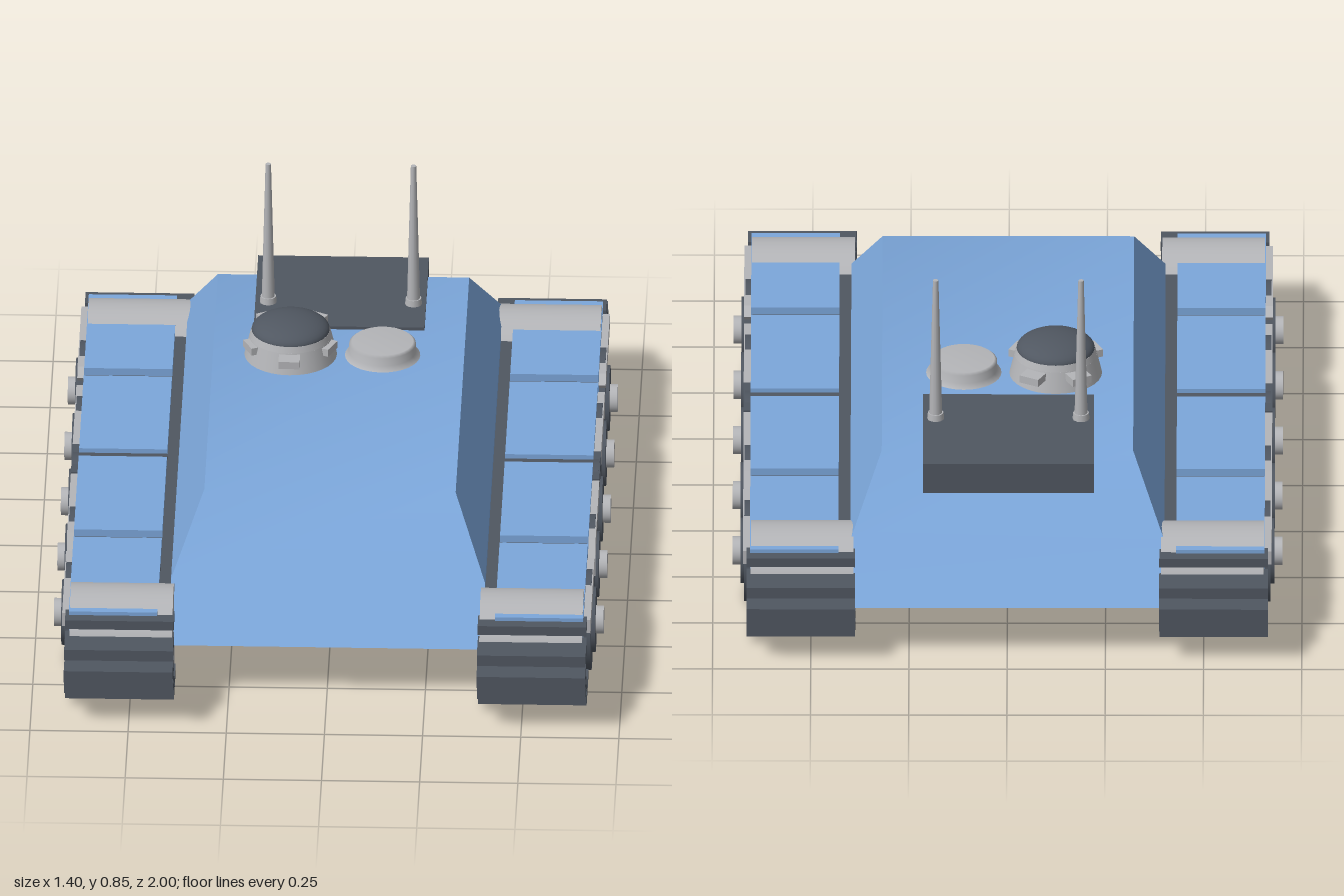
import * as THREE from 'three';

const mat = (name, color, side = THREE.FrontSide) => {
  const m = new THREE.MeshStandardMaterial({ color, side });
  m.name = name;
  return m;
};

export function createModel() {
  const blue = mat('blue paint', 0x7ca7db);
  const dark = mat('dark steel', 0x505761);
  const grey = mat('light grey metal', 0xb4b5b8);
  const model = new THREE.Group();

  const add = (name, geo, material, x = 0, y = 0, z = 0, parent = model) => {
    const m = new THREE.Mesh(geo, material);
    m.name = name;
    m.position.set(x, y, z);
    parent.add(m);
    return m;
  };
  // Box given by its limits on each axis
  const box = (name, material, [x0, x1], [y0, y1], [z0, z1], parent) =>
    add(name, new THREE.BoxGeometry(Math.abs(x1 - x0), y1 - y0, Math.abs(z1 - z0)), material,
      (x0 + x1) / 2, (y0 + y1) / 2, (z0 + z1) / 2, parent);
  // Side outline of [z, y] points, extruded across x
  const sideExtrude = (pts, x0, x1) => {
    const shape = new THREE.Shape(pts.map(p => new THREE.Vector2(...p)));
    const w = Math.abs(x1 - x0);
    return new THREE.ExtrudeGeometry(shape, { depth: w, bevelEnabled: false })
      .rotateY(-Math.PI / 2).translate((x0 + x1) / 2 + w / 2, 0, 0);
  };
  const disc = (r, w) => new THREE.CylinderGeometry(r, r, w, 32).rotateZ(Math.PI / 2);

  // Hull: [z, y, half width] from the front lower edge over the roof to the rear
  const ring = [[0.81, 0.15, 0.4], [0.685, 0.275, 0.4], [0.515, 0.445, 0.32],
    [-0.65, 0.445, 0.32], [-0.82, 0.275, 0.4], [-0.95, 0.15, 0.4]];
  const L = ring.map(([z, y, w]) => [w, y, z]);
  const R = ring.map(([z, y, w]) => [-w, y, z]);
  const surface = (points, index) => {
    const g = new THREE.BufferGeometry();
    g.setAttribute('position', new THREE.Float32BufferAttribute(points.flat(), 3));
    g.setIndex(index);
    g.computeVertexNormals();
    return g;
  };
  const strip = [];
  for (let i = 0; i < 5; i++) {
    strip.push(i + 6, i, i + 1, i + 6, i + 1, i + 7);
  }
  add('hullShell', surface([...L, ...R], strip), blue);
  const quad = (name, pts) => add(name, surface(pts, [0, 1, 2, 0, 2, 3]), blue);
  quad('hullBottom', [L[0], R[0], R[5], L[5]]);
  quad('leftLowerSide', [L[0], L[5], L[4], L[1]]);
  quad('leftUpperSide', [L[1], L[4], L[3], L[2]]);
  quad('rightLowerSide', [R[1], R[4], R[5], R[0]]);
  quad('rightUpperSide', [R[2], R[3], R[4], R[1]]);

  // Engine deck and antennas
  box('engineDeck', dark, [-0.22, 0.215], [0.37, 0.453], [-0.74, -0.36]);
  for (const x of [-0.187, 0.183]) {
    add('antenna', new THREE.CylinderGeometry(0.007, 0.017, 0.4, 12), grey, x, 0.65, -0.49);
    add('antennaBase', new THREE.CylinderGeometry(0.02, 0.022, 0.02, 12), grey, x, 0.46, -0.49);
  }

  // Cupola with domed lid and vision blocks
  const cupola = new THREE.Group();
  cupola.name = 'cupola';
  cupola.position.set(-0.122, 0.445, -0.225);
  model.add(cupola);
  add('cupolaWall', new THREE.CylinderGeometry(0.105, 0.118, 0.055, 32), grey, 0, 0.0275, 0, cupola);
  add('cupolaRim', new THREE.CylinderGeometry(0.1, 0.105, 0.017, 32), grey, 0, 0.063, 0, cupola);
  add('cupolaLid', new THREE.SphereGeometry(0.1, 32, 10, 0, Math.PI * 2, 0, Math.PI / 2).scale(1, 0.38, 1),
    dark, 0, 0.07, 0, cupola);
  for (const [deg, r] of [[0, 0.12], [65, 0.095], [-65, 0.095], [152, 0.12], [-152, 0.12]]) {
    const a = deg * Math.PI / 180;
    const b = add('visionBlock', new THREE.BoxGeometry(0.054, 0.02, 0.05), grey,
      r * Math.sin(a), 0.042, r * Math.cos(a), cupola);
    b.rotation.y = a;
  }

  // Round hatch beside the cupola
  const hatch = [[0, 0.04], [0.078, 0.04], [0.085, 0.034], [0.085, 0.012], [0.096, 0]];
  add('roundHatch', new THREE.LatheGeometry(hatch.map(p => new THREE.Vector2(...p)).reverse(), 32),
    grey, 0.112, 0.445, -0.225);

  // Running gear, mirrored on both sides
  for (const s of [1, -1]) {
    const gear = new THREE.Group();
    gear.name = s > 0 ? 'leftTrack' : 'rightTrack';
    model.add(gear);
    const span = (a, b) => [s * a, s * b];

    add('trackBody', sideExtrude([[-0.78, 0.04], [0.78, 0.04], [0.845, 0.08], [0.85, 0.2], [0.8, 0.25],
      [-0.8, 0.25], [-0.85, 0.2], [-0.845, 0.08]], s * 0.4, s * 0.652), dark, 0, 0, 0, gear);
    box('innerStrip', grey, span(0.392, 0.4), [0.11, 0.15], [-0.8, 0.8], gear);

    // Road wheels
    for (let i = -2; i <= 2; i++) {
      add('wheel', disc(0.13, 0.24), dark, s * 0.55, 0.13, i * 0.3, gear);
      add('wheelRing', disc(0.084, 0.02), dark, s * 0.67, 0.13, i * 0.3, gear);
      add('wheelHub', disc(0.036, 0.04), grey, s * 0.68, 0.13, i * 0.3, gear);
    }

    // Fender panels
    for (const [a, b] of [[0.455, 0.86], [0.015, 0.415], [-0.42, -0.025], [-0.86, -0.46]]) {
      box('fender', blue, span(0.43, 0.655), [0.2, 0.27], [a, b], gear);
    }

    for (const e of [1, -1]) {
      // End drum with its projecting track plates
      add('endDrum', disc(0.135, 0.262), grey, s * 0.522, 0.155, e * 0.77, gear);
      const plates = [[0.235, 0.26, 0.83, 0.89], [0.185, 0.215, 0.86, 0.965], [0.14, 0.172, 0.905, 1],
        [0.09, 0.125, 0.86, 0.965], [0.06, 0.08, 0.83, 0.89], [0.025, 0.05, 0.72, 0.87]];
      for (const [y0, y1, z0, z1] of plates) {
        box('trackPlate', dark, span(0.387, 0.664), [y0, y1], [e * z0, e * z1], gear);
      }
      // Side rails with sloped ends
      for (const [a, b] of [[0.08, 0.43], [0.47, 0.83]]) {
        const inner = a < 0.3;
        const pts = inner
          ? [[a, 0.212], [0.38, 0.212], [0.42, 0.165], [b, 0.165], [b, 0.215], [0.4, 0.253], [a, 0.253]]
          : [[a, 0.235], [0.5, 0.212], [b, 0.212], [b, 0.25], [0.5, 0.253]];
        const outline = pts.map(([z, y]) => [e * z, y]);
        add('sideRail', sideExtrude(outline, s * 0.645, s * 0.673), grey, 0, 0, 0, gear);
      }
    }
    box('middleRail', dark, span(0.645, 0.673), [0.215, 0.255], [-0.075, 0.075], gear);
  }
  return model;
}
